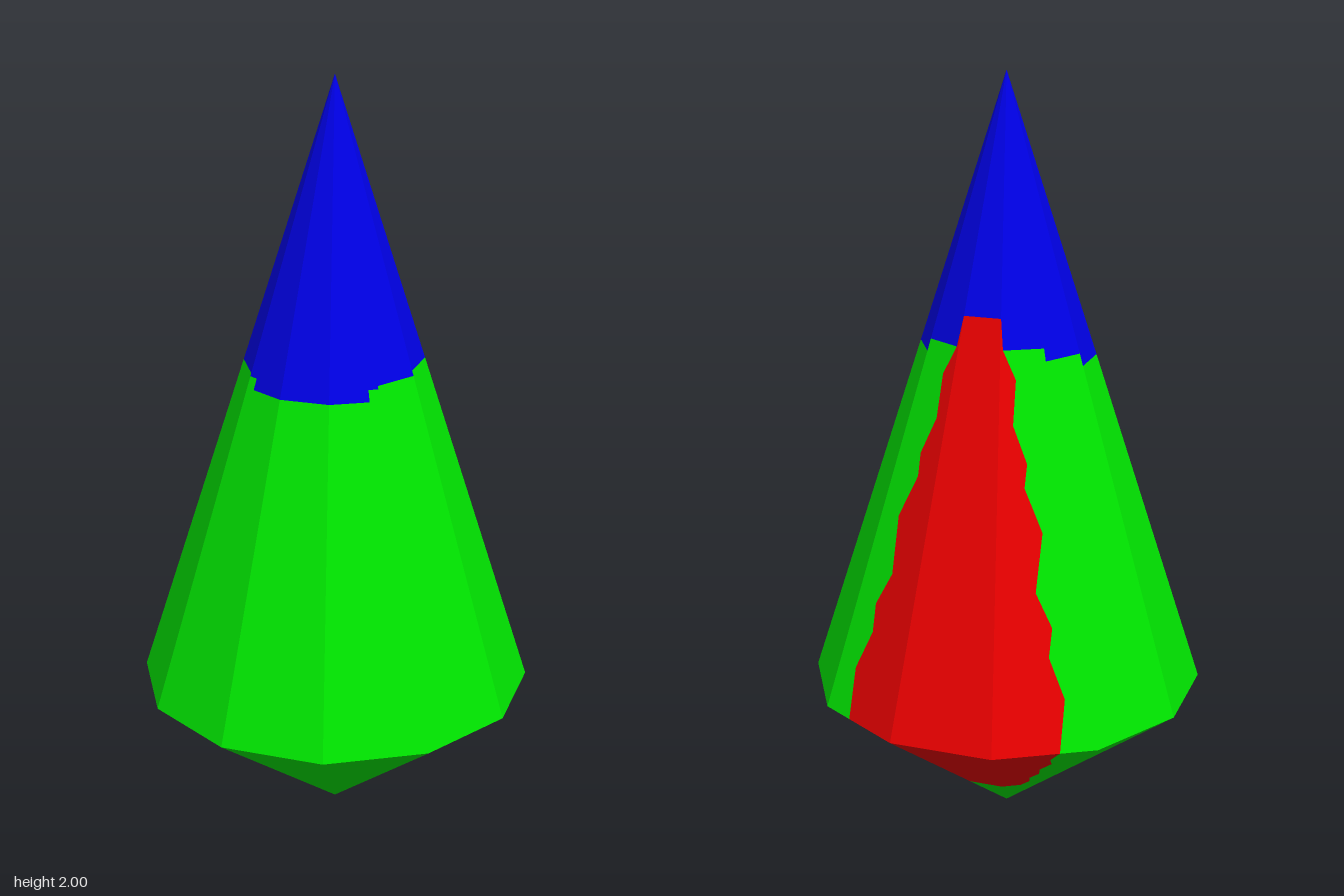
import * as THREE from 'three';

const RING_Y = 0.4, APOTHEM = 0.5, TOP = 2, BOTTOM = 0;

// Point on a twelve-sided cone: azimuth in degrees from the back (-z), t = 0 at the tip, 1 at the ring
function pointAt(az, t, tipY) {
  const off = az - Math.round(az / 30) * 30;
  const r = t * APOTHEM / Math.cos(THREE.MathUtils.degToRad(off));
  const a = THREE.MathUtils.degToRad(az);
  return [r * Math.sin(a), tipY + (RING_Y - tipY) * t, -r * Math.cos(a)];
}

// Mirrored pair of flat patches between rows t0 and t1; each row runs from one azimuth to another
function patch(out, tipY, t0, [a0, a1], t1, [b0, b1]) {
  for (const side of [1, -1]) {
    const p = pointAt(side * a1, t0, tipY), q = pointAt(side * b1, t1, tipY);
    const r = pointAt(side * b0, t1, tipY), s = pointAt(side * a0, t0, tipY);
    const tris = t0 === 0 ? [[p, q, r]] : [[p, q, r], [p, r, s]];
    const flip = (side < 0) !== (tipY < RING_Y);
    for (const [a, b, c] of tris) out.push(...a, ...(flip ? c : b), ...(flip ? b : c));
  }
}

function makeMesh(name, positions, material) {
  const geometry = new THREE.BufferGeometry();
  geometry.setAttribute('position', new THREE.Float32BufferAttribute(positions, 3));
  geometry.computeVertexNormals();
  const mesh = new THREE.Mesh(geometry, material);
  mesh.name = name;
  return mesh;
}

function makeMaterial(name, color) {
  const material = new THREE.MeshStandardMaterial({ color });
  material.name = name;
  return material;
}

export function createModel() {
  const blue = [], green = [], red = [], greenBase = [], redBase = [];

  // Facet spans: from azimuth, to azimuth, lower limit of the blue tip
  const spans = [
    [0, 15, 0.36], [15, 45, 0.42], [45, 75, 0.425], [75, 105, 0.444],
    [105, 135, 0.452], [135, 141, 0.457], [141, 165, 0.475], [165, 180, 0.475],
  ];
  // Stepped edge of the red panel on the upper cone: [t, azimuth]
  const upperEdge = [
    [0.36, 15], [0.406, 16.7], [0.45, 24.9], [0.516, 22.6], [0.573, 29.2], [0.608, 27.4],
    [0.675, 34.2], [0.762, 29.9], [0.815, 35], [0.858, 33.1], [0.921, 37.1], [1, 34.3],
  ];
  // And on the lower cone
  const lowerEdge = [
    [0.34, 32], [0.42, 36], [0.5, 33], [0.58, 36], [0.68, 33.5], [0.78, 36], [0.88, 33.5], [1, 34.3],
  ];

  for (const [a, b, t] of spans) {
    const span = [a, b];
    if (a === 0) {
      // Back facet: red below the tip, green at the very bottom
      patch(blue, TOP, 0, span, t, span);
      patch(red, TOP, t, span, 1, span);
      patch(greenBase, BOTTOM, 0, span, 0.34, span);
      patch(redBase, BOTTOM, 0.34, span, 1, span);
    } else if (a === 15) {
      // Facets crossed by the panel's stepped edge
      patch(blue, TOP, 0, span, 0.36, span);
      patch(greenBase, BOTTOM, 0, span, 0.34, span);
      for (let i = 1; i < upperEdge.length; i++) {
        const [t0, e0] = upperEdge[i - 1], [t1, e1] = upperEdge[i];
        patch(red, TOP, t0, [15, e0], t1, [15, e1]);
        patch(t1 < 0.43 ? blue : green, TOP, t0, [e0, 45], t1, [e1, 45]);
      }
      for (let i = 1; i < lowerEdge.length; i++) {
        const [t0, e0] = lowerEdge[i - 1], [t1, e1] = lowerEdge[i];
        patch(redBase, BOTTOM, t0, [15, e0], t1, [15, e1]);
        patch(greenBase, BOTTOM, t0, [e0, 45], t1, [e1, 45]);
      }
    } else {
      patch(blue, TOP, 0, span, t, span);
      patch(green, TOP, t, span, 1, span);
      patch(greenBase, BOTTOM, 0, span, 1, span);
    }
  }

  const blueMat = makeMaterial('blue', 0x0000ff);
  const greenMat = makeMaterial('green', 0x00ff00);
  const redMat = makeMaterial('red', 0xff0000);

  const group = new THREE.Group();
  group.name = 'facetedSpindle';
  group.add(
    makeMesh('tip', blue, blueMat),
    makeMesh('upperBody', green, greenMat),
    makeMesh('lowerBody', greenBase, greenMat),
    makeMesh('upperBackPanel', red, redMat),
    makeMesh('lowerBackPanel', redBase, redMat),
  );
  return group;
}
